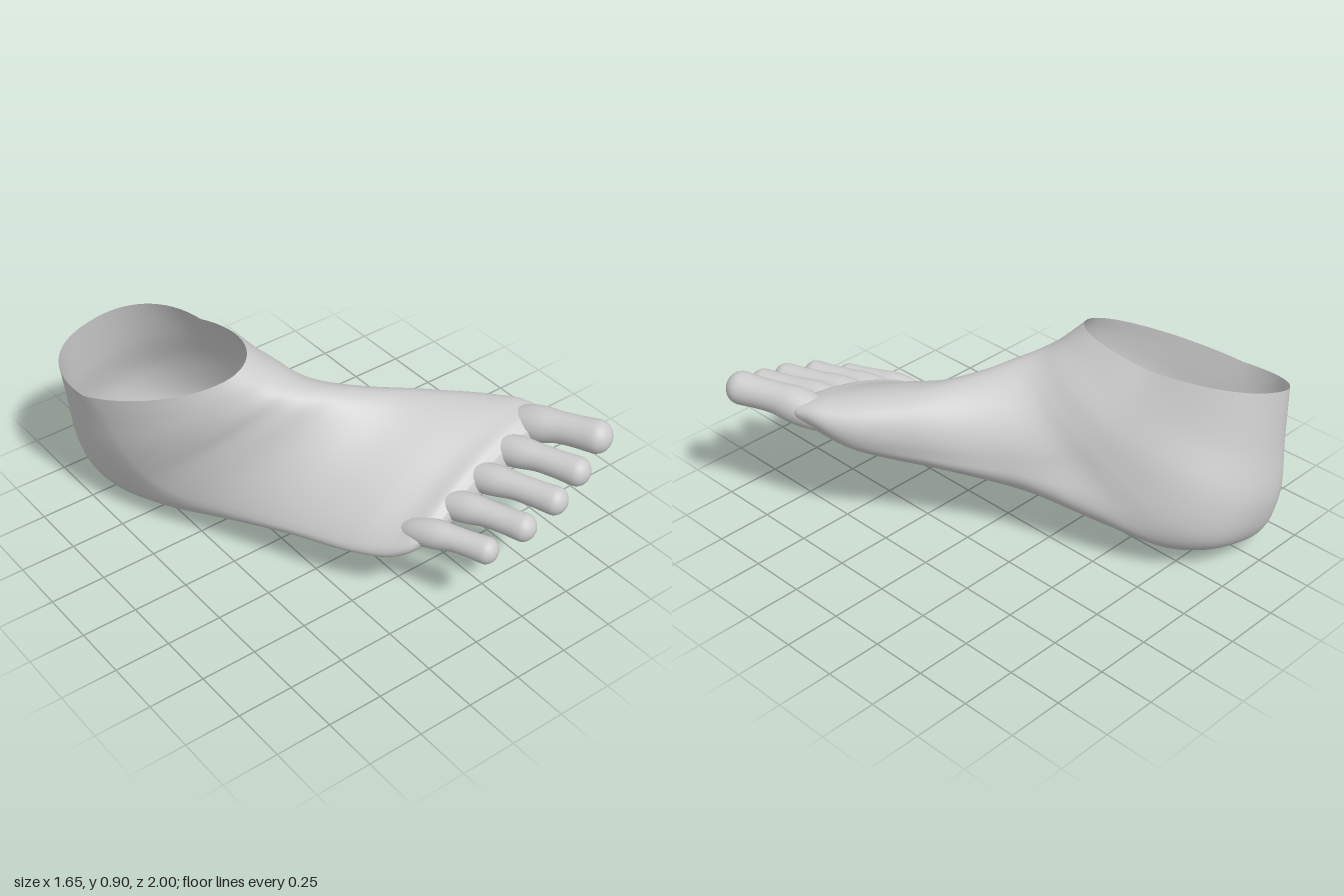
import * as THREE from 'three';

const V = (p) => new THREE.Vector3(...p);

// Skin a list of closed rings and close the last one with a point
function loft(rings, tip) {
  const n = rings[0].length;
  const pts = rings.flat();
  const index = [];
  for (let i = 0; i < rings.length - 1; i++) {
    for (let j = 0; j < n; j++) {
      const a = i * n + j, b = i * n + (j + 1) % n;
      index.push(a, a + n, b, b, a + n, b + n);
    }
  }
  const last = (rings.length - 1) * n;
  pts.push(tip);
  for (let j = 0; j < n; j++) index.push(last + j, pts.length - 1, last + (j + 1) % n);
  const g = new THREE.BufferGeometry().setFromPoints(pts);
  g.setIndex(index);
  g.computeVertexNormals();
  return g;
}

// Rounded ring through a top, medial, bottom and lateral point;
// a power below 1 makes that half squarer
function ring(top, medial, bottom, lateral, n, topPower, bottomPower) {
  const c = medial.clone().add(lateral).multiplyScalar(0.5);
  const out = [];
  for (let j = 0; j < n; j++) {
    const a = (j / n) * Math.PI * 2;
    const u = Math.cos(a), v = Math.sin(a);
    const power = u > 0 ? topPower : bottomPower;
    const p = c.clone();
    p.addScaledVector((u > 0 ? top : bottom).clone().sub(c), Math.abs(u) ** power);
    p.addScaledVector((v > 0 ? medial : lateral).clone().sub(c), Math.abs(v) ** power);
    out.push(p);
  }
  return out;
}

// Sections: [top, medial, bottom, lateral, bottom power]
// Fan from the ankle rim round the heel
const HEEL = [
  [[-0.41, 0.86, -0.11], [-0.255, 0.85, -0.55], [-0.59, 0.765, -0.935], [-0.825, 0.67, -0.60], 0.87],
  [[-0.36, 0.82, -0.075], [-0.17, 0.73, -0.53], [-0.56, 0.52, -0.965], [-0.785, 0.55, -0.54], 0.85],
  [[-0.31, 0.785, -0.045], [-0.09, 0.61, -0.50], [-0.50, 0.28, -1.00], [-0.75, 0.41, -0.49], 0.78],
  [[-0.26, 0.76, -0.015], [-0.04, 0.51, -0.46], [-0.44, 0.11, -0.95], [-0.71, 0.31, -0.45], 0.7],
  [[-0.20, 0.74, 0.015], [0.00, 0.44, -0.40], [-0.37, 0.04, -0.80], [-0.665, 0.24, -0.40], 0.64],
  [[-0.13, 0.72, 0.055], [0.07, 0.40, -0.30], [-0.29, 0.065, -0.57], [-0.59, 0.19, -0.28], 0.7],
];
// Arch, ball and toe line
const FOREFOOT = [
  [[0.00, 0.69, 0.12], [0.18, 0.40, -0.13], [-0.17, 0.14, -0.20], [-0.48, 0.21, -0.08], 0.8],
  [[0.18, 0.655, 0.24], [0.38, 0.43, 0.11], [-0.02, 0.20, 0.10], [-0.35, 0.24, 0.20], 0.9],
  [[0.35, 0.63, 0.42], [0.60, 0.48, 0.36], [0.12, 0.24, 0.42], [-0.22, 0.27, 0.46], 0.93],
  [[0.43, 0.61, 0.53], [0.66, 0.53, 0.49], [0.19, 0.28, 0.57], [-0.14, 0.30, 0.59], 0.93],
  [[0.42, 0.585, 0.60], [0.685, 0.555, 0.58], [0.25, 0.345, 0.64], [-0.075, 0.335, 0.67], 0.93],
  [[0.39, 0.54, 0.645], [0.60, 0.56, 0.64], [0.31, 0.425, 0.67], [0.01, 0.37, 0.70], 0.93],
];

function footBody() {
  const sections = [...HEEL, ...FOREFOOT];
  const lines = [0, 1, 2, 3].map((k) => new THREE.CatmullRomCurve3(sections.map((s) => V(s[k]))));
  const power = new THREE.SplineCurve(sections.map((s, i) => new THREE.Vector2(i, s[4])));
  const rings = [];
  const steps = 88;
  for (let i = 0; i <= steps; i++) {
    const t = i / steps;
    rings.push(ring(...lines.map((l) => l.getPoint(t)), 64, 1.04, power.getPoint(t).y));
  }
  return loft(rings, V([0.33, 0.475, 0.67]));
}

// Toe: tapered root sunk in the foot, slim neck, rounded pad at the end
function toe(root, end, r) {
  const a = V(root), b = V(end);
  const mid = a.clone().lerp(b, 0.55).add(V([0, 0.018, 0]));
  const path = new THREE.CatmullRomCurve3([a, mid, b]);
  const size = new THREE.SplineCurve(
    [0.45, 0.95, 1.1, 0.95, 0.94, 1].map((s, i) => new THREE.Vector2(i / 5, s * r)));
  const roll = 0.35;
  const rings = [];
  const add = (c, dir, rad) => {
    const side = new THREE.Vector3(Math.cos(roll), Math.sin(roll), 0);
    side.addScaledVector(dir, -side.dot(dir)).normalize();
    const up = dir.clone().cross(side);
    const at = (d, s) => c.clone().addScaledVector(d, s * rad);
    rings.push(ring(at(up, 1), at(side, 1), at(up, -1), at(side, -1), 24, 1, 1));
  };
  for (let i = 0; i <= 20; i++) {
    add(path.getPoint(i / 20), path.getTangent(i / 20), size.getPoint(i / 20).y);
  }
  const dir = path.getTangent(1);
  for (let i = 1; i < 8; i++) {
    const q = (i / 8) * Math.PI / 2;
    add(b.clone().addScaledVector(dir, r * 0.9 * Math.sin(q)), dir, r * Math.cos(q));
  }
  return loft(rings, b.clone().addScaledVector(dir, r * 0.9));
}

const TOES = [
  ['bigToe', [0.56, 0.525, 0.42], [0.748, 0.61, 0.848], 0.073],
  ['secondToe', [0.41, 0.495, 0.45], [0.59, 0.54, 0.905], 0.063],
  ['thirdToe', [0.25, 0.445, 0.48], [0.435, 0.488, 0.943], 0.061],
  ['fourthToe', [0.10, 0.385, 0.51], [0.27, 0.432, 0.943], 0.06],
  ['littleToe', [-0.06, 0.325, 0.53], [0.11, 0.368, 0.905], 0.057],
];

export function createModel() {
  const group = new THREE.Group();
  group.name = 'foot';
  const skin = new THREE.MeshStandardMaterial({ color: 0xcccccc, side: THREE.DoubleSide });
  const add = (name, geometry) => {
    const mesh = new THREE.Mesh(geometry, skin);
    mesh.name = name;
    group.add(mesh);
  };
  add('footAndAnkle', footBody());
  for (const [name, root, end, r] of TOES) add(name, toe(root, end, r));
  return group;
}
